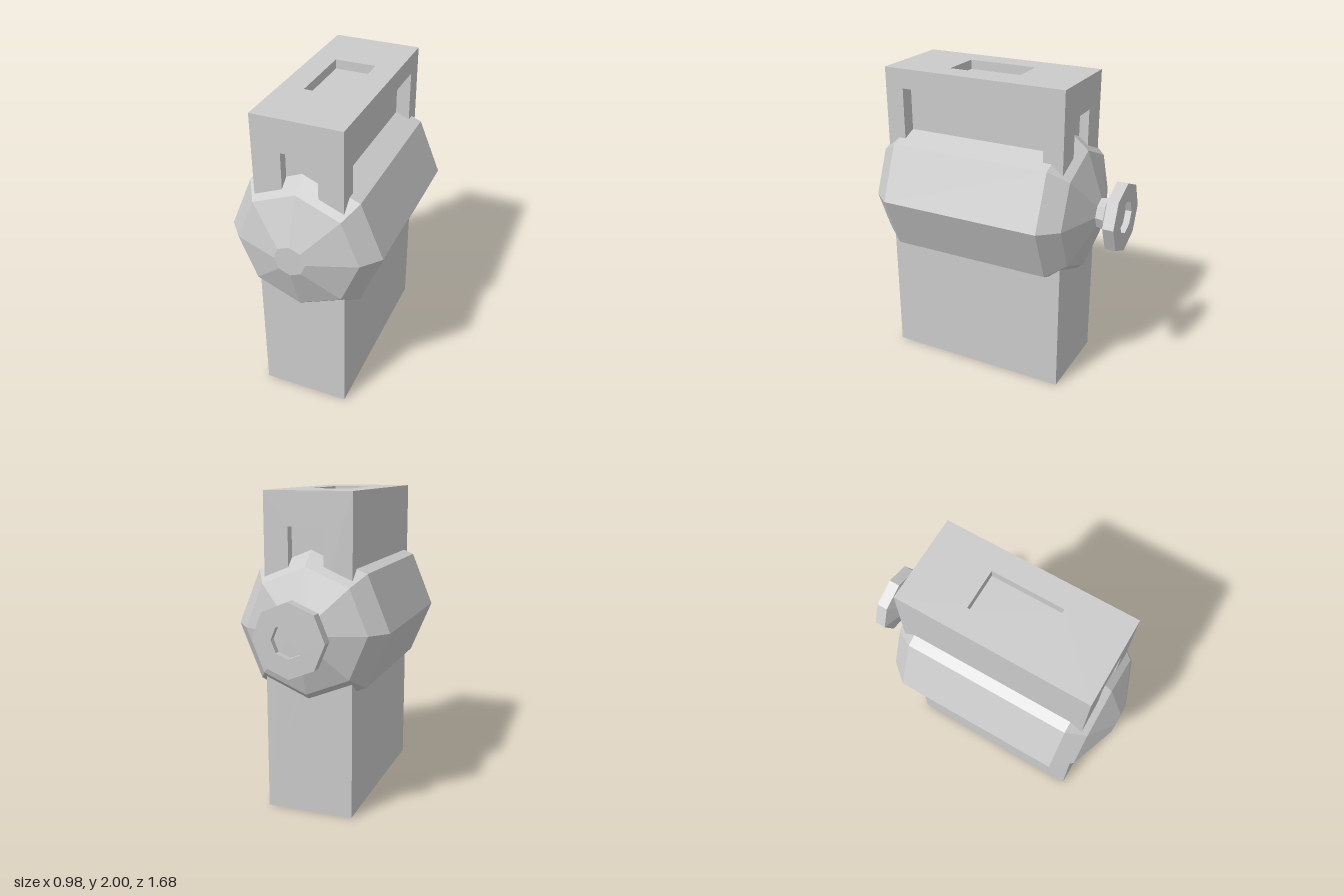
import * as THREE from 'three';
import { mergeGeometries } from 'three/addons/utils/BufferGeometryUtils.js';

const material = new THREE.MeshStandardMaterial({ color: 0xcccccc, flatShading: true });

const faceted = (geometry) => {
  const g = geometry.index ? geometry.toNonIndexed() : geometry;
  g.computeVertexNormals();
  return g;
};

// Flat panel facing +z, with an optional sunken rectangular pocket {x0, x1, y0, y1, depth}
function panel(x0, x1, y0, y1, pocket) {
  const rect = (a, b, c, d, Type) => new Type([[a, c], [b, c], [b, d], [a, d]].map((p) => new THREE.Vector2(...p)));
  const shape = rect(x0, x1, y0, y1, THREE.Shape);
  if (!pocket) return faceted(new THREE.ShapeGeometry(shape));
  const { x0: a, x1: b, y0: c, y1: d, depth } = pocket;
  shape.holes.push(rect(a, b, c, d, THREE.Path));

  // Pocket: a box turned inside out with its outer face left off
  const inner = new THREE.BoxGeometry(b - a, d - c, depth);
  inner.translate((a + b) / 2, (c + d) / 2, -depth / 2);
  const index = Array.from(inner.index.array);
  index.splice(24, 6);
  inner.setIndex(index.reverse());
  return mergeGeometries([faceted(new THREE.ShapeGeometry(shape)), faceted(inner)]);
}

export function createModel() {
  const group = new THREE.Group();
  const add = (name, geometry) => {
    const mesh = new THREE.Mesh(geometry, material);
    mesh.name = name;
    group.add(mesh);
  };

  // Upright block, one panel per side
  const W = 0.28, H = 2, F = 0.695, B = 0.53;
  const quarter = Math.PI / 2;
  const slot = { y0: 1.45, y1: 1.79, depth: 0.06 };
  const block = [
    panel(-W, W, 0, H, { ...slot, x0: -0.1, x1: 0.125 }).translate(0, 0, F),
    panel(-W, W, 0, H, { ...slot, x0: -0.125, x1: 0.1 }).rotateY(Math.PI).translate(0, 0, -B),
    panel(-F, B, 0, H, { x0: -0.57, x1: 0.4, y0: 1.48, y1: 1.875, depth: 0.09 }).rotateY(quarter).translate(W, 0, 0),
    panel(-B, F, 0, H).rotateY(-quarter).translate(-W, 0, 0),
    panel(-W, W, -F, B, { x0: -0.13, x1: 0.13, y0: -0.31, y1: 0.15, depth: 0.06 }).rotateX(-quarter).translate(0, H, 0),
    panel(-W, W, -B, F).rotateX(quarter),
  ];
  add('uprightBlock', mergeGeometries(block));

  // Eight-sided solids turned about the z axis, as [radius, z] from back to front
  const turned = (profile) => faceted(
    new THREE.LatheGeometry(profile.map((p) => new THREE.Vector2(...p)), 8).rotateX(quarter).translate(0, 1.175, 0),
  );
  add('barrel', turned([
    [0, -0.675], [0.1, -0.675], [0.39, -0.575], [0.49, -0.455],
    [0.49, 0.615], [0.39, 0.735], [0.1, 0.84], [0, 0.84],
  ]));

  // Rear knob with a hollow end
  add('rearKnob', turned([
    [0, -0.8], [0.105, -0.8], [0.105, -0.84], [0.225, -0.84],
    [0.225, -0.77], [0.11, -0.73], [0.095, -0.67],
  ]));

  return group;
}
